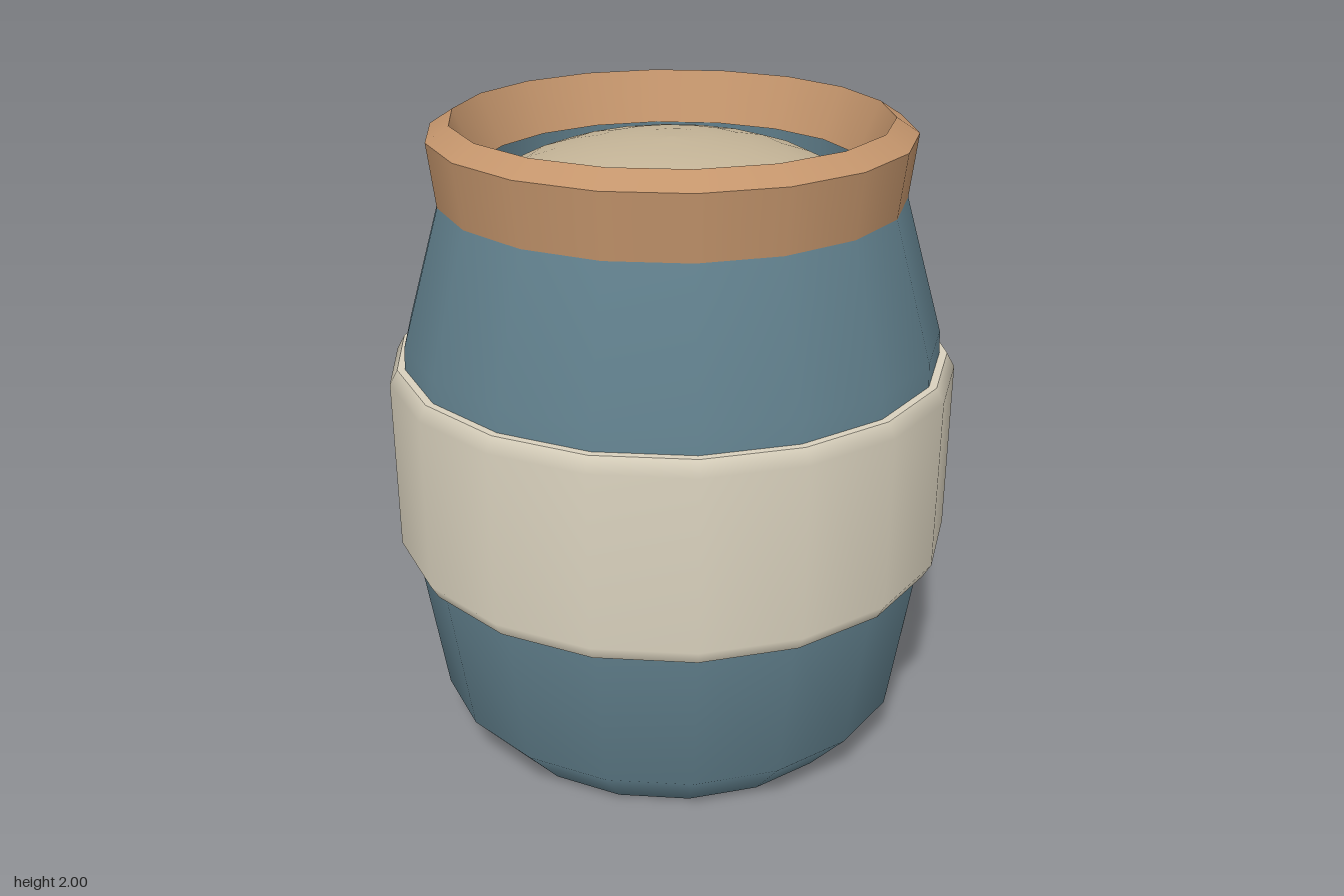
import * as THREE from 'three';

const SIDES = 18;

function material(name, color) {
  const m = new THREE.MeshStandardMaterial({ color });
  m.name = name;
  return m;
}

// Each profile is turned separately, so edges between profiles stay sharp.
function turned(name, mat, ...profiles) {
  const group = new THREE.Group();
  group.name = name;
  profiles.forEach((points, i) => {
    const profile = points.map(([r, y]) => new THREE.Vector2(r, y));
    const mesh = new THREE.Mesh(new THREE.LatheGeometry(profile, SIDES, Math.PI / 2), mat);
    mesh.name = `${name}Surface${i + 1}`;
    group.add(mesh);
  });
  return group;
}

export function createModel() {
  const blue = material('glaze blue', 0x62818e);
  const brown = material('clay brown', 0xc4956c);
  const cream = material('band cream', 0xdad2be);
  const tan = material('contents tan', 0xc4b497);

  const model = new THREE.Group();
  model.name = 'jar';

  // Glazed body: outer wall and the inner neck wall
  model.add(turned('body', blue,
    [[0.63, 0], [0.76, 0.15], [0.835, 0.64], [0.85, 0.95], [0.83, 1.34], [0.705, 1.77]],
    [[0.595, 1.84], [0.605, 1.6]]));

  // Unglazed underside
  model.add(turned('base', brown, [[0, 0], [0.63, 0]]));

  // Wide band with softened edges
  model.add(turned('band', cream,
    [[0.82, 0.64], [0.857, 0.64]],
    [[0.857, 0.64], [0.882, 0.685], [0.882, 1.225], [0.857, 1.27]],
    [[0.857, 1.27], [0.82, 1.27]]));

  // Flared rim: underside, outer wall, bevelled lip, inner wall
  model.add(turned('rim', brown,
    [[0.69, 1.76], [0.707, 1.76]],
    [[0.707, 1.76], [0.73, 1.955]],
    [[0.73, 1.955], [0.66, 2.0]],
    [[0.66, 2.0], [0.59, 1.84]],
    [[0.59, 1.84], [0.6, 1.84]]));

  // Domed contents filling the neck
  const dome = [];
  for (let i = 0; i <= 8; i++) {
    const a = (i / 8) * Math.PI / 2;
    dome.push([0.62 * Math.cos(a), 1.68 + 0.25 * Math.sin(a)]);
  }
  dome[8][0] = 0;
  model.add(turned('contents', tan, dome));

  return model;
}
